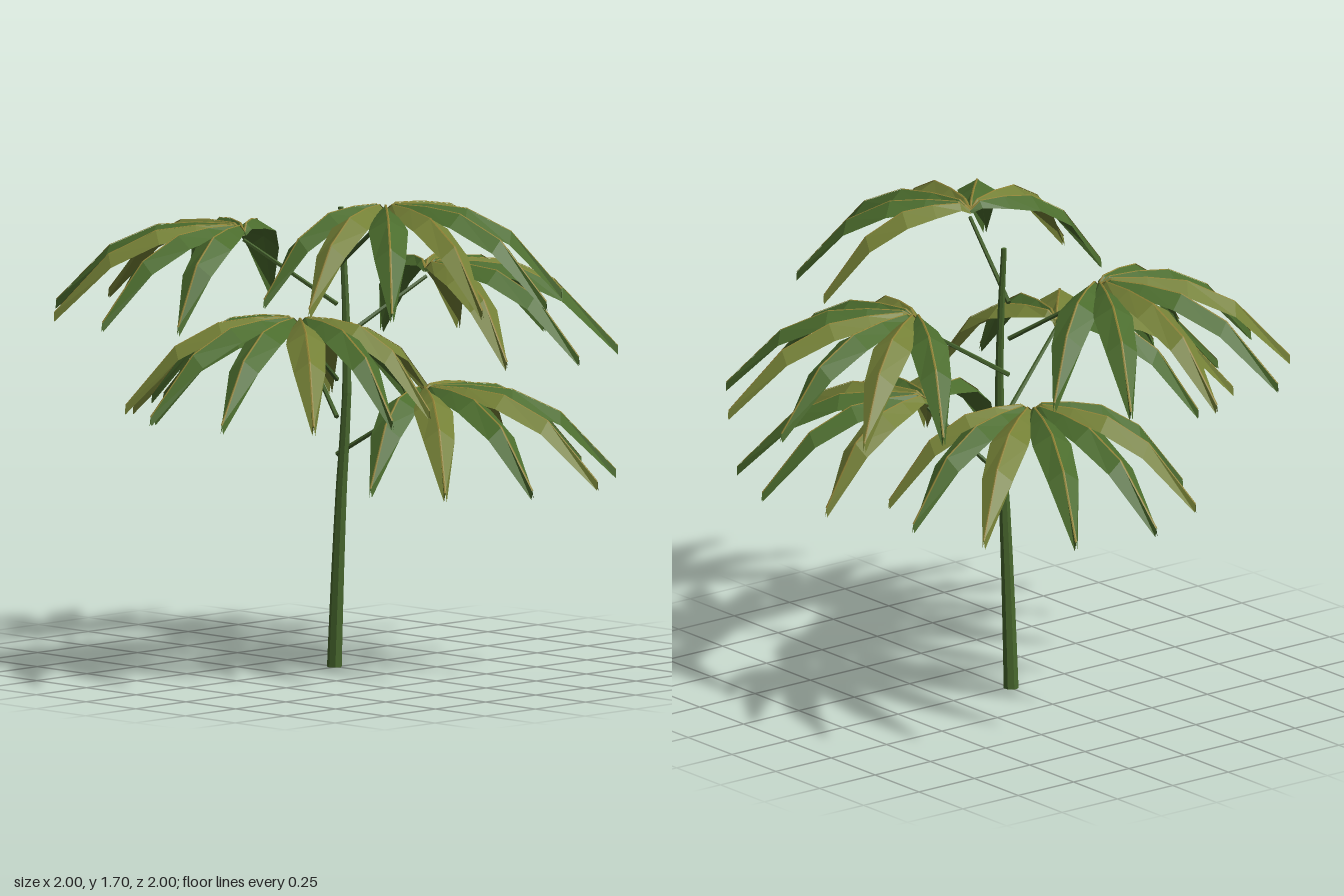
import * as THREE from 'three';

const flat = (name, color) => {
  const m = new THREE.MeshStandardMaterial({ color, flatShading: true, side: THREE.DoubleSide });
  m.name = name;
  return m;
};

// Leaflet stations: distance from hub, midrib height, half width, fold depth
const STATIONS = [
  [0, -0.028, 0.007, 0.012],
  [0.05, 0, 0.021, 0.022],
  [0.18, 0, 0.052, 0.033],
  [0.325, -0.015, 0.07, 0.041],
  [0.5, -0.095, 0.056, 0.041],
  [0.7, -0.3, 0.005, 0.031],
];

// Joins rows of points into a strip of quads facing up
function loft(rows) {
  const pos = [];
  for (let i = 0; i < rows.length - 1; i++) {
    for (let j = 0; j < rows[i].length - 1; j++) {
      const a = rows[i][j], b = rows[i + 1][j], c = rows[i + 1][j + 1], d = rows[i][j + 1];
      pos.push(...a, ...c, ...b, ...a, ...d, ...c);
    }
  }
  const g = new THREE.BufferGeometry();
  g.setAttribute('position', new THREE.Float32BufferAttribute(pos, 3));
  g.computeVertexNormals();
  return g;
}

// Roof-shaped drooping blade along +x
const bladeGeometry = (reach) => loft(STATIONS.map(([r, y, w, d]) => [
  [r * reach, y - d, -w], [r * reach, y, 0], [r * reach, y - d, w],
]));

// Narrow midrib lying over the fold
const ribGeometry = (reach) => loft(STATIONS.map(([r, y]) => [
  [r * reach, y + 0.001, -0.004], [r * reach, y + 0.003, 0], [r * reach, y + 0.001, 0.004],
]));

function rod(from, to, r0, r1, material) {
  const dir = to.clone().sub(from);
  const mesh = new THREE.Mesh(new THREE.CylinderGeometry(r1, r0, dir.length(), 5), material);
  mesh.position.copy(from).addScaledVector(dir, 0.5);
  mesh.quaternion.setFromUnitVectors(new THREE.Vector3(0, 1, 0), dir.normalize());
  return mesh;
}

export function createModel() {
  const model = new THREE.Group();
  model.name = 'umbrellaPlant';
  const green = flat('leafGreen', 0x4b6c2d);
  const olive = flat('leafOlive', 0x748036);
  const ribColor = flat('ribYellow', 0x8c8034);
  const bark = flat('stemGreen', 0x47662d);
  const stalk = flat('stalkGreen', 0x435f2b);

  // Gently bent, tapering trunk
  const H = 1.64;
  const bend = new THREE.CatmullRomCurve3([
    [-0.008, 0, 0.004], [0.008, 0.33, 0.004], [0.026, 0.66, 0.002],
    [0.042, 0.98, -0.008], [0.018, 1.31, -0.025], [-0.01, 1.64, -0.03],
  ].map((p) => new THREE.Vector3(...p)));
  const trunkGeometry = new THREE.CylinderGeometry(0.01, 0.027, H, 7, 10);
  trunkGeometry.translate(0, H / 2, 0);
  const p = trunkGeometry.attributes.position;
  for (let i = 0; i < p.count; i++) {
    const c = bend.getPoint(THREE.MathUtils.clamp(p.getY(i) / H, 0, 1));
    p.setX(i, p.getX(i) + c.x);
    p.setZ(i, p.getZ(i) + c.z);
  }
  trunkGeometry.computeVertexNormals();
  const trunk = new THREE.Mesh(trunkGeometry, bark);
  trunk.name = 'trunk';
  model.add(trunk);

  // Leaflet geometries, shorter toward the sides of the fan
  const reaches = [0, 1, 2, 3].map((k) => 1 - 0.23 * (k / 3) ** 2);
  const blades = reaches.map(bladeGeometry);
  const ribs = reaches.map(ribGeometry);

  // Six fans spiralling up the trunk
  for (let i = 0; i < 6; i++) {
    const lift = 0.134 * i;
    const branch = new THREE.Group();
    branch.name = `branch${i + 1}`;
    branch.rotation.y = THREE.MathUtils.degToRad(17.3 + 137.5 * i);

    const petiole = rod(new THREE.Vector3(0, 0.76 + lift, 0),
      new THREE.Vector3(0.348, 0.975 + lift, 0), 0.009, 0.007, stalk);
    petiole.name = 'petiole';
    branch.add(petiole);

    // Seven leaflets fanned around the hub
    for (let j = 0; j < 7; j++) {
      const k = Math.abs(j - 3);
      const leaflet = new THREE.Group();
      leaflet.name = `leaflet${j + 1}`;
      leaflet.position.set(0.345, 1.03 + lift, 0);
      leaflet.rotation.y = THREE.MathUtils.degToRad((j - 3) * 27.4);
      const blade = new THREE.Mesh(blades[k], ((i + j) % 5) % 2 ? olive : green);
      blade.name = 'blade';
      const rib = new THREE.Mesh(ribs[k], ribColor);
      rib.name = 'midrib';
      leaflet.add(blade, rib);
      branch.add(leaflet);
    }
    model.add(branch);
  }
  return model;
}
